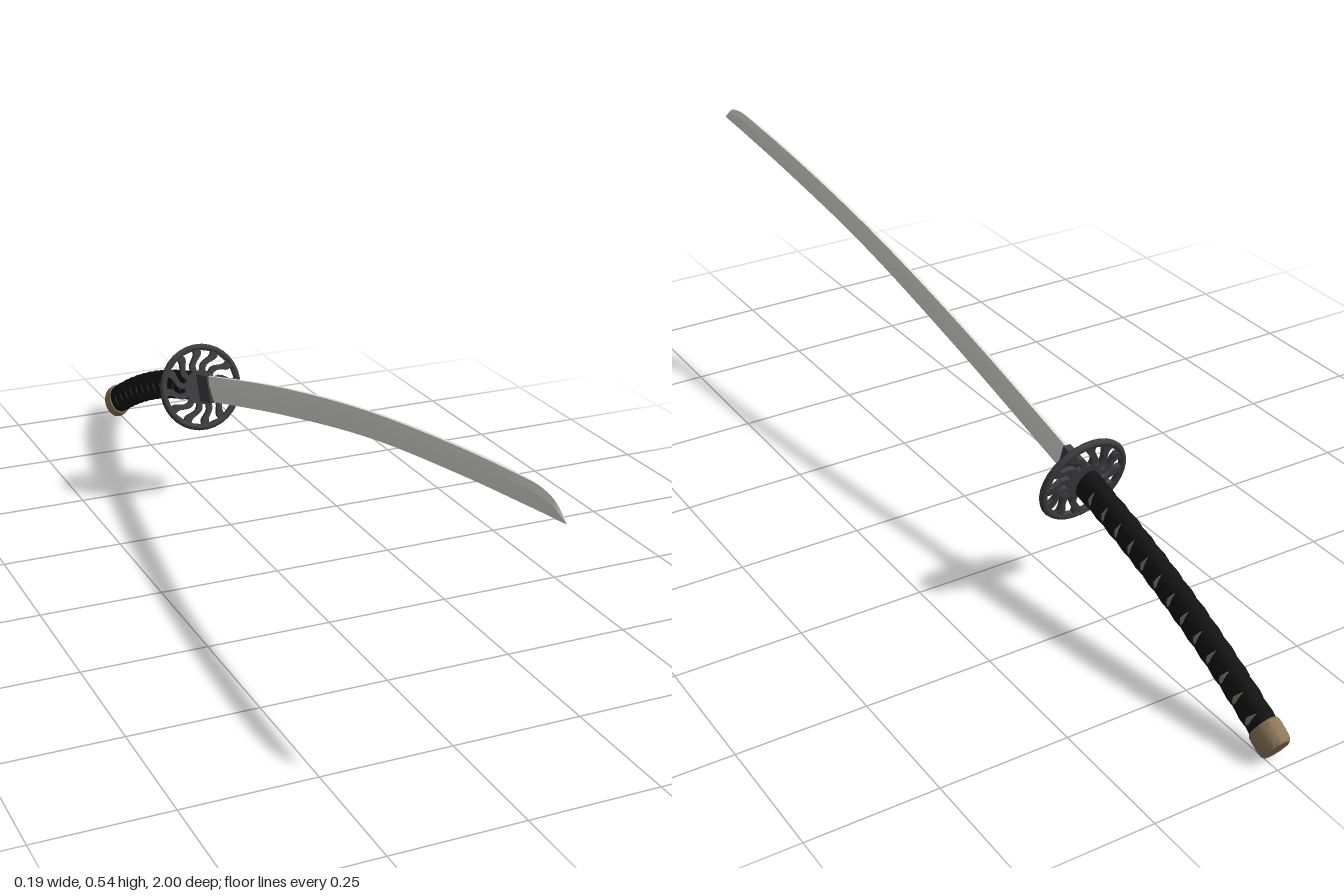
import * as THREE from 'three';
import { toCreasedNormals } from 'three/addons/utils/BufferGeometryUtils.js';

const material = (name, color) => {
  const m = new THREE.MeshStandardMaterial({ color });
  m.name = name;
  return m;
};

// Joins equal-length loops of points into a closed skin
function loft(loops, crease = 0.6) {
  const n = loops[0].length, last = (loops.length - 1) * n, index = [];
  for (let i = 0; i < loops.length - 1; i++) {
    for (let j = 0; j < n; j++) {
      const a = i * n + j, b = i * n + (j + 1) % n;
      index.push(a, a + n, b, b, a + n, b + n);
    }
  }
  for (let j = 1; j < n - 1; j++) {
    index.push(0, j, j + 1, last, last + j + 1, last + j);
  }
  const g = new THREE.BufferGeometry().setFromPoints(loops.flat());
  g.setIndex(index);
  return toCreasedNormals(g, crease);
}

// Centre line of the grip, running backwards and down
const gripLine = new THREE.QuadraticBezierCurve3(
  new THREE.Vector3(0, 0.258, -0.43),
  new THREE.Vector3(0, 0.176, -0.747),
  new THREE.Vector3(0, 0.031, -0.984));

// Point on an oval around the grip line
function gripPoint(u, angle, rx, ry) {
  const t = THREE.MathUtils.clamp(u, 0, 1);
  const p = gripLine.getPointAt(t), d = gripLine.getTangentAt(t);
  const h = ry * Math.sin(angle);
  return new THREE.Vector3(rx * Math.cos(angle), p.y - d.z * h, p.z + d.y * h);
}

// Oval solid along the grip from [position, scale] stations
function gripSolid(stations, rx, ry, sides = 24) {
  return loft(stations.map(([u, k]) => Array.from({ length: sides }, (_, j) =>
    gripPoint(u, j / sides * Math.PI * 2, rx * k, ry * k))));
}

// One helical band of cord; hand is +1 or -1
function cordBand(hand, lift) {
  const turns = 13, steps = 24, from = 0.03, to = 0.93;
  const pitch = (to - from) / turns, w = 0.355 * pitch * hand;
  const section = [[w, -0.003], [w, 0.002], [0, 0.0032], [-w, 0.002], [-w, -0.003]];
  const loops = [];
  for (let i = 0; i <= turns * steps; i++) {
    const angle = hand * i / steps * Math.PI * 2, u = from + pitch * i / steps;
    loops.push(section.map(([du, r]) => gripPoint(
      THREE.MathUtils.clamp(u + du, 0.02, 0.94), angle, 0.02 + r + lift, 0.029 + r + lift)));
  }
  return loft(loops, 0.5);
}

// Curved blade with a spine, side ridges and a cutting edge
function bladeGeometry() {
  const rail = pts => new THREE.CatmullRomCurve3(pts.map(([z, y]) => new THREE.Vector3(0, y, z)));
  const spine = rail([[-0.39, 0.297], [0, 0.399], [0.36, 0.475], [0.68, 0.523],
    [0.86, 0.542], [0.93, 0.545], [0.97, 0.536], [0.998, 0.513]]);
  const edge = rail([[-0.375, 0.242], [0.014, 0.344], [0.38, 0.426], [0.7, 0.475],
    [0.88, 0.497], [0.95, 0.505], [0.98, 0.508], [1, 0.511]]);
  const loops = [], count = 56;
  for (let i = count; i >= 0; i--) {
    const s = spine.getPoint(i / count), e = edge.getPoint(i / count);
    const k = Math.min(1, s.distanceTo(e) / 0.035);
    const spineHalf = 0.003 * THREE.MathUtils.clamp((0.94 - s.z) / 0.12, 0.1, 1);
    const at = (f, x) => e.clone().lerp(s, f).setX(x * k);
    loops.push([at(0, 0), at(0.68, 0.005), at(1, spineHalf), at(1, -spineHalf), at(0.68, -0.005)]);
  }
  return loft(loops, 0.3);
}

// Disc with swirling openings between hub and rim
function guardGeometry() {
  const shape = new THREE.Shape().absarc(0, 0, 0.09, 0, Math.PI * 2);
  const spokes = 12, inner = 0.037, outer = 0.081;
  for (let i = 0; i < spokes; i++) {
    const side = sign => Array.from({ length: 8 }, (_, j) => {
      const f = j / 7, r = inner + (outer - inner) * f;
      const a = i / spokes * Math.PI * 2 - 0.3 * f + 0.07 * Math.sin(f * Math.PI * 2)
        + sign * (0.12 + 0.04 * f);
      return new THREE.Vector2(r * Math.cos(a), r * Math.sin(a));
    });
    shape.holes.push(new THREE.Path([...side(1), ...side(-1).reverse()]));
  }
  const g = new THREE.ExtrudeGeometry(shape, { depth: 0.01, bevelEnabled: false, curveSegments: 20 });
  return g.translate(0, 0, -0.005);
}

export function createModel() {
  const steel = material('pale steel', 0xe3e3e1);
  const iron = material('dark iron', 0x3f3f43);
  const cord = material('black cord', 0x131313);
  const skin = material('grey grip skin', 0x80807a);
  const bronze = material('dull bronze', 0x8f795c);

  const model = new THREE.Group();
  model.name = 'curvedSword';
  const pivot = new THREE.Group();
  pivot.name = 'swordPivot';
  pivot.position.set(0, 0.261, -0.416);
  pivot.rotation.set(0, 0.036, 0.05);
  const sword = new THREE.Group();
  sword.name = 'sword';
  sword.position.copy(pivot.position).negate();
  pivot.add(sword);
  model.add(pivot);

  const add = (name, geometry, mat, parent = sword) => {
    const mesh = new THREE.Mesh(geometry, mat);
    mesh.name = name;
    parent.add(mesh);
    return mesh;
  };

  add('blade', bladeGeometry(), steel);

  // Guard, rim and blade collar share the tilt of the blade root
  const guard = new THREE.Group();
  guard.name = 'guard';
  guard.position.copy(pivot.position);
  guard.rotation.x = -0.25;
  sword.add(guard);
  add('guardDisc', guardGeometry(), iron, guard);
  add('guardRim', new THREE.TorusGeometry(0.087, 0.007, 8, 32), iron, guard);
  add('bladeCollar', new THREE.BoxGeometry(0.016, 0.06, 0.066), iron, guard).position.z = 0.031;

  // Grip: skin core, crossing cords and end fittings
  const core = Array.from({ length: 25 }, (_, i) => [0.96 * i / 24, 1]);
  add('gripCore', gripSolid(core, 0.02, 0.029), skin);
  add('gripCordRight', cordBand(1, 0), cord);
  add('gripCordLeft', cordBand(-1, 0.0008), cord);
  add('gripFrontRing', gripSolid([[0, 1], [0.02, 1], [0.04, 1]], 0.024, 0.033), cord);
  add('endCap', gripSolid([[0.925, 0.92], [0.932, 1], [0.955, 1.01], [0.98, 1],
    [0.993, 0.95], [1, 0.83]], 0.026, 0.037), bronze);

  return model;
}
